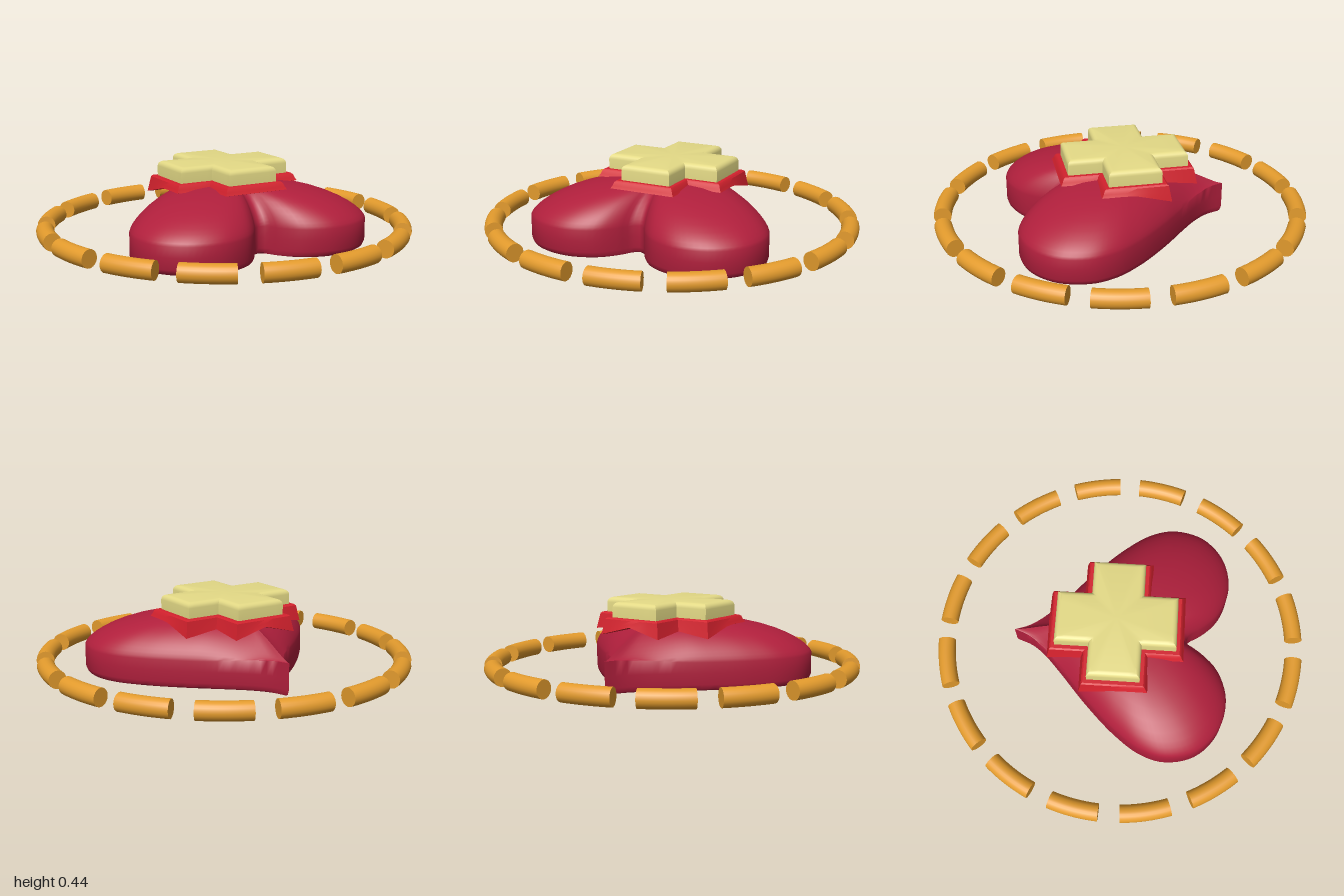
import * as THREE from 'three';
import { toCreasedNormals } from 'three/addons/utils/BufferGeometryUtils.js';

// Closed solid through equal-length rings of [x, y, z], bottom to top, with fan caps.
function loft(rings, bottomCentre, topCentre, crease) {
  const n = rings[0].length;
  const pos = [...rings.flat(), bottomCentre, topCentre].flat();
  const low = rings.length * n, high = low + 1, last = low - n;
  const index = [];
  for (let j = 0; j < n; j++) {
    const k = (j + 1) % n;
    for (let r = 0; r < rings.length - 1; r++) {
      const a = r * n + j, b = r * n + k;
      index.push(a, a + n, b, b, a + n, b + n);
    }
    index.push(low, j, k, high, last + k, last + j);
  }
  const g = new THREE.BufferGeometry();
  g.setAttribute('position', new THREE.Float32BufferAttribute(pos, 3));
  g.setIndex(index);
  return toCreasedNormals(g, crease);
}

// Heart outline: one half as a spline from tip to notch, then mirrored.
function heartOutline() {
  const half = [[0, -0.575], [0.03, -0.495], [0.09, -0.415], [0.19, -0.32], [0.36, -0.17], [0.52, -0.005],
    [0.62, 0.14], [0.655, 0.275], [0.615, 0.435], [0.49, 0.55], [0.32, 0.585], [0.165, 0.535],
    [0.075, 0.445], [0.035, 0.38], [0, 0.36]];
  const pts = new THREE.CatmullRomCurve3(half.map(([x, z]) => new THREE.Vector3(x, 0, z)))
    .getSpacedPoints(64).map(p => [p.x, p.z]);
  return [...pts, ...pts.slice(1, -1).reverse().map(([x, z]) => [-x, z])];
}

function heartGeometry() {
  const outline = heartOutline();
  const ring = (s, y) => outline.map(([x, z]) => [x * s, y, z * s]);
  // the dome falls off more gently towards the tip
  const dome = s => outline.map(([x, z]) => {
    const w = THREE.MathUtils.smoothstep(-z, 0.2, 0.55);
    const rim = 0.145 + 0.025 * w;
    const y = rim + (0.34 - rim) * Math.pow(1 - Math.pow(s, 2.5), 0.7 + 0.75 * w);
    return [x * s, y, z * s];
  });
  const rings = [ring(0.95, 0), ring(0.97, 0), ring(0.988, 0.008), ring(1, 0.03), ring(1, 0.09)];
  for (const s of [1, 0.99, 0.97, 0.94, 0.9, 0.84, 0.76, 0.66, 0.54, 0.4, 0.2]) rings.push(dome(s));
  return loft(rings, [0, 0, 0], [0, 0.34, 0], 1.0);
}

// Plus-shaped loop with arm half-length a and half-width w; height may vary over the plan.
function plusRing(a, w, height) {
  const corners = [[w, -a], [w, -w], [a, -w], [a, w], [w, w], [w, a],
    [-w, a], [-w, w], [-a, w], [-a, -w], [-w, -w], [-w, -a]];
  const steps = 6, cz = -0.018;
  return corners.flatMap(([x, z], i) => {
    const [x2, z2] = corners[(i + 1) % 12];
    return Array.from({ length: steps }, (_, k) => {
      const px = x + (x2 - x) * k / steps, pz = z + (z2 - z) * k / steps + cz;
      return [px, height(px, pz), pz];
    });
  });
}

export function createModel() {
  const group = new THREE.Group();
  const add = (name, geometry, color, parent = group) => {
    const mesh = new THREE.Mesh(geometry, new THREE.MeshStandardMaterial({ color }));
    mesh.name = name;
    parent.add(mesh);
    return mesh;
  };

  add('heart', heartGeometry(), 0xb01f3c);

  // Red backing plate, its underside drooping at the rear corners
  const droop = (x, z) => 0.312 - 0.7 * Math.abs(x) * Math.max(0, -z);
  const plate = [
    plusRing(0.345, 0.165, droop),
    plusRing(0.36, 0.18, (x, z) => droop(x, z) + 0.004),
    plusRing(0.352, 0.172, (x, z) => 0.45 * droop(x, z) + 0.55 * 0.345),
    plusRing(0.345, 0.165, () => 0.348),
    plusRing(0.337, 0.157, () => 0.355),
  ];
  add('crossBacking', loft(plate, [0, 0.312, -0.018], [0, 0.355, -0.018], 0.5), 0xd3212d);

  // Pale cross with a rounded top edge
  const cross = [plusRing(0.318, 0.138, () => 0.345)];
  const bevel = 0.028;
  for (let i = 0; i <= 5; i++) {
    const t = i / 5 * Math.PI / 2, inset = bevel * (1 - Math.cos(t));
    const y = 0.435 - bevel * (1 - Math.sin(t));
    cross.push(plusRing(0.318 - inset, 0.138 - inset, () => y));
  }
  add('cross', loft(cross, [0, 0.345, -0.018], [0, 0.435, -0.018], 0.5), 0xe4da86);

  // Dashed ring of capped tube arcs
  const ring = new THREE.Group();
  ring.name = 'dashedRing';
  group.add(ring);
  const count = 16, radius = 0.953, tube = 0.047, arc = Math.PI * 2 / count * 0.7;
  const arcGeometry = new THREE.TorusGeometry(radius, tube, 24, 10, arc).rotateZ(-arc / 2).rotateX(Math.PI / 2);
  const capGeometry = new THREE.CircleGeometry(tube, 24);
  for (let i = 0; i < count; i++) {
    const dash = new THREE.Group();
    dash.name = 'dash';
    dash.position.y = 0.089;
    dash.rotation.y = (i + 0.5) / count * Math.PI * 2;
    add('dashTube', arcGeometry, 0xe39b2d, dash);
    for (const side of [-1, 1]) {
      const cap = add('dashCap', capGeometry, 0xe39b2d, dash);
      const a = side * arc / 2;
      cap.position.set(radius * Math.cos(a), 0, radius * Math.sin(a));
      cap.rotation.y = -a + (side < 0 ? Math.PI : 0);
    }
    ring.add(dash);
  }
  return group;
}
